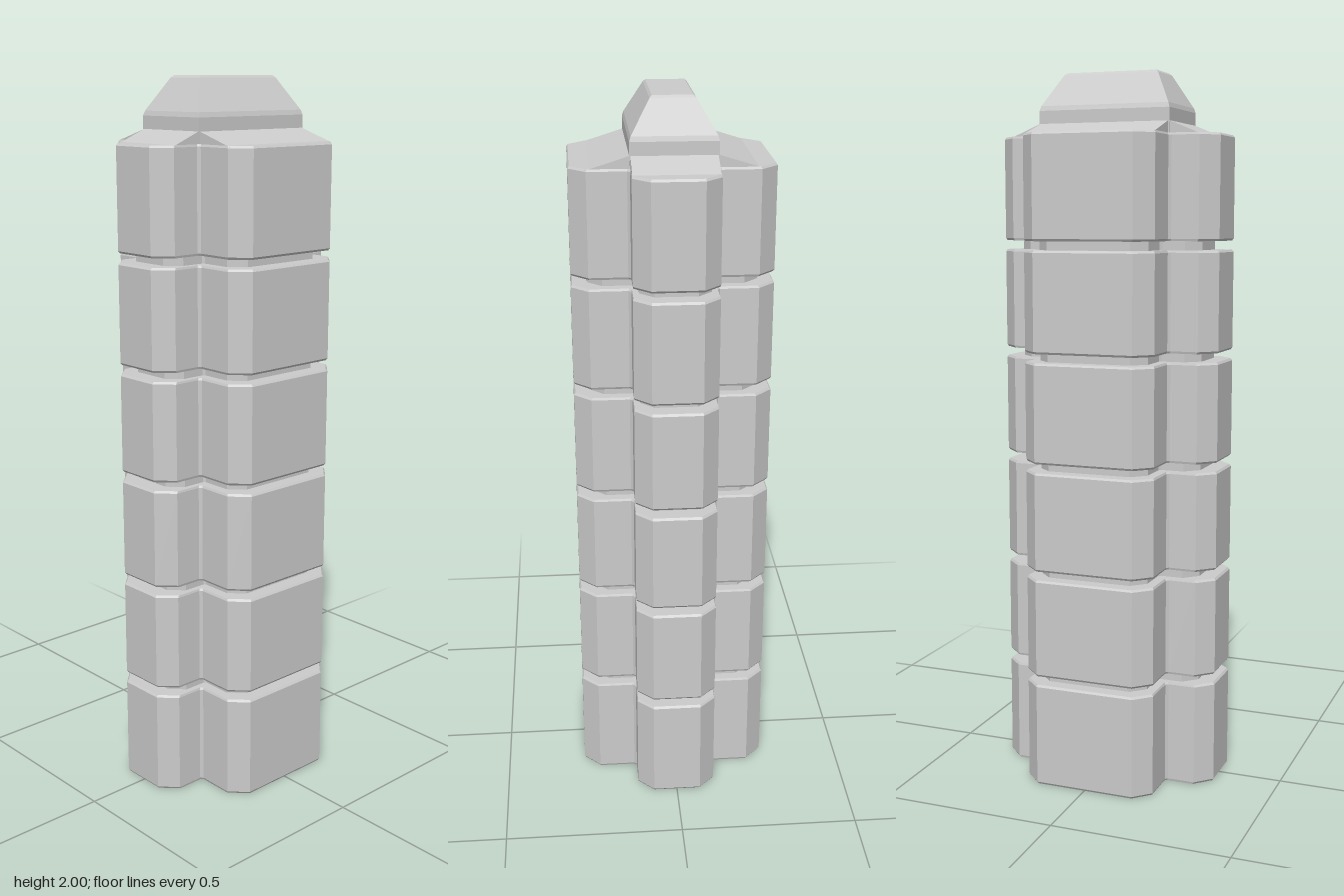
import * as THREE from 'three';

const material = new THREE.MeshStandardMaterial({ color: 0xcccccc });
const flat = new THREE.MeshStandardMaterial({ color: 0xcccccc, flatShading: true });

// Repeats a first-quadrant run of plan points around all four quadrants (counter-clockwise)
function mirrorPlan(q) {
  const p = q.map(([x, y]) => new THREE.Vector2(x, y));
  const m = p.map(v => new THREE.Vector2(-v.x, v.y)).reverse();
  const half = [...p, ...m];
  return [...half, ...half.map(v => v.clone().negate())];
}

// Cross-shaped plan with chamfered outer corners
const CROSS = mirrorPlan([
  [0.32, 0.068], [0.275, 0.113], [0.197, 0.113],
  [0.19, 0.12], [0.19, 0.224], [0.144, 0.27],
]);

const scaled = (plan, s) => plan.map(p => p.clone().multiplyScalar(s));
const rect = (x, z) => mirrorPlan([[x, z]]);

// Closed loft through [height, ring] levels, with flat faces
function loft(levels) {
  const pos = [];
  const put = (y, p) => pos.push(p.x, y, -p.y);
  for (let k = 0; k < levels.length - 1; k++) {
    const [y0, r0] = levels[k], [y1, r1] = levels[k + 1];
    r0.forEach((a, i) => {
      const j = (i + 1) % r0.length;
      put(y0, a); put(y0, r0[j]); put(y1, r1[j]);
      put(y0, a); put(y1, r1[j]); put(y1, r1[i]);
    });
  }
  const [yb, bottom] = levels[0], [yt, top] = levels[levels.length - 1];
  for (const [a, b, c] of THREE.ShapeUtils.triangulateShape(top, [])) {
    put(yt, top[a]); put(yt, top[b]); put(yt, top[c]);
    put(yb, bottom[a]); put(yb, bottom[c]); put(yb, bottom[b]);
  }
  const g = new THREE.BufferGeometry();
  g.setAttribute('position', new THREE.Float32BufferAttribute(pos, 3));
  g.computeVertexNormals();
  return g;
}

// Wedge rising from radius `outer` to radius `inner`, pointing along +z
function wedge(outer, inner, width) {
  const s = new THREE.Shape();
  s.moveTo(outer, 1.825);
  s.lineTo(inner, 1.86);
  s.lineTo(inner - 0.02, 1.86);
  s.lineTo(inner - 0.02, 1.81);
  s.lineTo(outer, 1.81);
  const g = new THREE.ExtrudeGeometry(s, { depth: width, bevelEnabled: false });
  return g.translate(0, 0, -width / 2).rotateY(-Math.PI / 2);
}

export function createModel() {
  const group = new THREE.Group();
  const add = (name, geometry, mat = flat) => {
    const mesh = new THREE.Mesh(geometry, mat);
    mesh.name = name;
    group.add(mesh);
    return mesh;
  };

  // Recessed core that shows in the grooves
  add('core', loft([[0.1, scaled(CROSS, 0.84)], [1.75, scaled(CROSS, 0.84)]]));

  // Six stacked blocks with fine bevelled rims
  const bounds = [[0, 0.295], [0.32, 0.6], [0.625, 0.905], [0.93, 1.21], [1.235, 1.515], [1.54, 1.828]];
  const rim = scaled(CROSS, 0.985), b = 0.006;
  bounds.forEach(([y0, y1], i) => add('block' + (i + 1),
    loft([[y0, rim], [y0 + b, CROSS], [y1 - b, CROSS], [y1, rim]])));

  // Sloped shoulder on each wing
  for (let i = 0; i < 4; i++) {
    const side = i % 2 === 1;
    const roof = add('shoulder' + (i + 1), side ? wedge(0.275, 0.19, 0.222) : wedge(0.226, 0.113, 0.374), material);
    roof.rotation.y = i * Math.PI / 2;
  }

  // Tapered crown with a flat top
  add('crown', loft([
    [1.75, rect(0.19, 0.114)], [1.895, rect(0.19, 0.114)], [1.908, rect(0.186, 0.11)],
    [1.994, rect(0.138, 0.059)], [2, rect(0.131, 0.053)],
  ]));

  return group;
}
